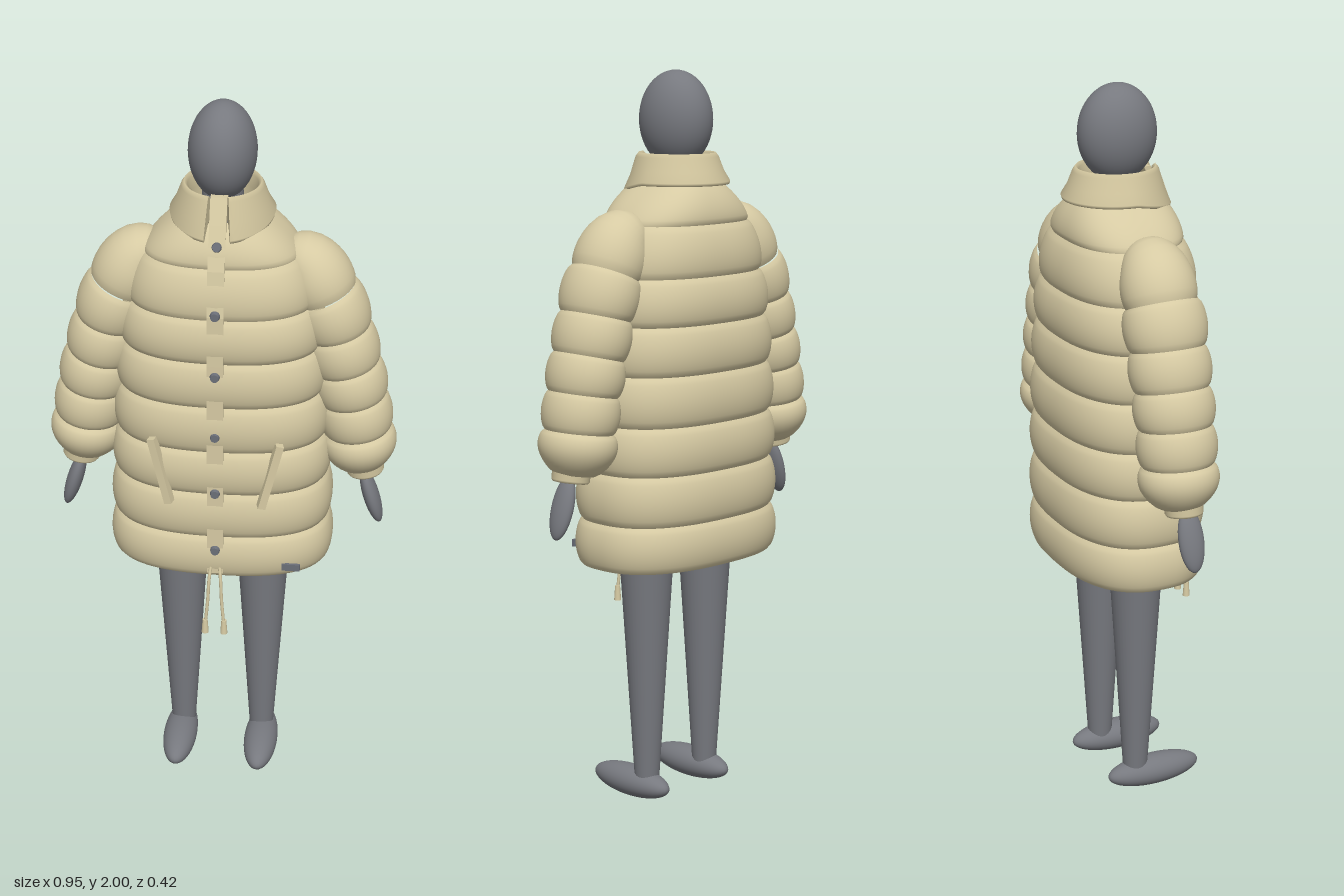
import * as THREE from 'three';

const mat = (name, color, side = THREE.FrontSide) => {
  const m = new THREE.MeshStandardMaterial({ color, side });
  m.name = name;
  return m;
};

// Grid surface: rows run upward, columns run from +x towards +z.
function loft(rows, cols, point, closed = true) {
  const pos = [], idx = [], n = closed ? cols : cols + 1;
  for (let i = 0; i <= rows; i++)
    for (let j = 0; j < n; j++) pos.push(...point(i / rows, j / cols));
  for (let i = 0; i < rows; i++)
    for (let j = 0; j < cols; j++) {
      const k = (j + 1) % n;
      const a = i * n + j, b = i * n + k, c = a + n, d = b + n - j + j;
      idx.push(a, c, b, b, c, d);
    }
  const g = new THREE.BufferGeometry();
  g.setAttribute('position', new THREE.Float32BufferAttribute(pos, 3));
  g.setIndex(idx);
  g.computeVertexNormals();
  return g;
}

const lerp = THREE.MathUtils.lerp;
const puff = t => Math.pow(Math.max(0, Math.sin(Math.PI * t)), 0.6);
const soft = v => Math.sign(v) * Math.pow(Math.abs(v), 0.8);

// Seams of the coat body: height, half width, front depth, back depth
const SEAMS = [
  [0.685, 0.291, 0.175, 0.188], [0.81, 0.288, 0.175, 0.19], [0.945, 0.284, 0.175, 0.188],
  [1.075, 0.279, 0.175, 0.187], [1.21, 0.272, 0.175, 0.184], [1.34, 0.262, 0.174, 0.18],
  [1.465, 0.245, 0.17, 0.172], [1.6, 0.205, 0.147, 0.152], [1.71, 0.095, 0.1, 0.11],
];

export function createModel() {
  const model = new THREE.Group();
  model.name = 'mannequinInPufferCoat';
  const gray = mat('mannequinGray', 0x77797f);
  const cloth = mat('coatBeige', 0xd6caa3);
  const lining = mat('liningBeige', 0xcfc39c, THREE.DoubleSide);
  const metal = mat('buttonGray', 0x6b6f78);

  const add = (name, geo, material, x = 0, y = 0, z = 0, parent = model) => {
    const m = new THREE.Mesh(geo, material);
    m.name = name;
    m.position.set(x, y, z);
    parent.add(m);
    return m;
  };
  const ball = (name, x, y, z, rx, ry, rz) =>
    add(name, new THREE.SphereGeometry(1, 40, 28).scale(rx, ry, rz), gray, x, y, z);

  // Mannequin
  ball('head', 0, 1.87, 0, 0.089, 0.13, 0.108);
  add('neck', new THREE.CylinderGeometry(0.052, 0.06, 0.22, 32), gray, 0, 1.7, 0);
  for (const s of [1, -1]) {
    const side = s > 0 ? 'left' : 'right';
    const leg = new THREE.CylinderGeometry(0.084, 0.034, 0.79, 36);
    add(side + 'Leg', leg, gray, s * 0.114, 0.455, 0);
    ball(side + 'Foot', s * 0.118, 0.043, 0.056, 0.048, 0.043, 0.14);
    ball(side + 'Hand', s * 0.411, 0.872, 0.012, 0.022, 0.087, 0.036).rotation.z = s * 0.3;
  }

  // Quilted coat body, one loft for each padded band
  const coat = new THREE.Group();
  coat.name = 'coatBody';
  model.add(coat);
  for (let k = 0; k < SEAMS.length - 1; k++) {
    const lo = SEAMS[k], hi = SEAMS[k + 1];
    add('band' + (k + 1), loft(14, 80, (t, u) => {
      const p = 0.018 * puff(t), a = u * Math.PI * 2;
      const [y, w, f, b] = lo.map((v, i) => lerp(v, hi[i], t));
      const c = soft(Math.cos(a)), s = soft(Math.sin(a));
      return [(w + p) * c, y, ((s > 0 ? f : b) + p) * s];
    }), cloth, 0, 0, 0, coat);
  }
  // Inner lining, from hem rim upward
  add('lining', loft(4, 80, (t, u) => {
    const a = u * Math.PI * 2, r = [0, 0.02, 0.024, 0.03, 0.28][Math.round(t * 4)];
    const y = [0.685, 0.687, 0.75, 1.1, 1.15][Math.round(t * 4)];
    const s = soft(Math.sin(a));
    return [(0.291 - r) * soft(Math.cos(a)), y, Math.max(0.01, (s > 0 ? 0.175 : 0.188) - r) * s];
  }), lining, 0, 0, 0, coat);

  // Sleeves: padded rings along a drooping arm path
  const arm = new THREE.CatmullRomCurve3([
    [0.14, 1.57], [0.215, 1.56], [0.275, 1.46], [0.315, 1.33], [0.35, 1.18], [0.382, 0.96],
  ].map(([x, y]) => new THREE.Vector3(x, y, -0.006)));
  const cuts = [0, 0.25, 0.41, 0.56, 0.7, 0.84, 1];
  const cuffProfile = [[0.036, 0.035], [0.036, -0.036], [0.04, -0.04], [0.047, -0.04], [0.051, -0.034], [0.051, 0.04]]
    .map(p => new THREE.Vector2(...p));
  for (const s of [1, -1]) {
    const sleeve = new THREE.Group();
    sleeve.name = s > 0 ? 'leftSleeve' : 'rightSleeve';
    model.add(sleeve);
    for (let k = 0; k < cuts.length - 1; k++) {
      const first = k === 0, last = k === cuts.length - 2;
      add('sleevePuff' + (k + 1), loft(14, 40, (v, u) => {
        const t = 1 - v, q = lerp(cuts[k], cuts[k + 1], t);
        const P = arm.getPointAt(q), T = arm.getTangentAt(q), a = s * u * Math.PI * 2;
        let r = 0.088;
        if (first) r *= Math.sqrt(1 - (1 - t) * (1 - t));
        if (last) r = lerp(0.088, 0.052, t * t);
        r += (last ? 0.02 : 0.013) * puff(t);
        const n = r * Math.cos(a), rz = r * (first ? 1.05 : lerp(1.15, 1.05, q));
        return [s * (P.x - T.y * n), P.y + T.x * n, P.z + rz * Math.sin(a)];
      }), cloth, 0, 0, 0, sleeve);
    }
    add('cuff', new THREE.LatheGeometry(cuffProfile, 36), lining, s * 0.387, 0.98, 0, sleeve).rotation.z = s * 0.16;
  }

  // Turned-down collar, open at the front: radius, height, share of front droop
  const collarProfile = [
    [0.086, 1.67, 0], [0.088, 1.74, 0], [0.091, 1.775, 0], [0.1, 1.783, 0], [0.108, 1.772, 0],
    [0.122, 1.735, 0.5], [0.138, 1.708, 1], [0.136, 1.7, 1], [0.126, 1.703, 1], [0.106, 1.73, 0.4],
  ];
  const gap = 0.25;
  const collarPoint = (i, u) => {
    const [r, y, d] = collarProfile[i % collarProfile.length];
    const a = Math.PI / 2 + gap + u * (Math.PI * 2 - 2 * gap);
    const front = Math.max(0, Math.sin(a));
    return [r * Math.cos(a), y - d * 0.03 * front, -0.006 + r * Math.sin(a) * (1.04 + 0.05 * front)];
  };
  const pn = collarProfile.length;
  add('collar', loft(pn, 64, (t, u) => collarPoint(Math.round(t * pn), u), false), lining);
  for (const u of [0, 1])
    add('collarEnd', loft(4, 1, (t, v) => {
      const i = Math.round(t * 4);
      return collarPoint(v ? 9 - i : i, u);
    }, false), lining);

  // Front placket that sinks between the bands
  const line = [[1.775, 0.088], [1.71, 0.118], [1.66, 0.139], [1.6, 0.161], [1.48, 0.184], [1.34, 0.188], [0.7, 0.189]];
  const strip = new THREE.Shape();
  line.forEach(([y, z], i) => (i ? strip.lineTo(z, y) : strip.moveTo(z, y)));
  [...line].reverse().forEach(([y, z]) => strip.lineTo(z - 0.02, y));
  const placketGeo = new THREE.ExtrudeGeometry(strip, { depth: 0.044, bevelEnabled: false });
  placketGeo.rotateY(-Math.PI / 2);
  add('placket', placketGeo, cloth, 0.022, 0, 0);

  // Snap buttons
  [[1.66, 0.141], [1.485, 0.187], [1.31, 0.192], [1.13, 0.193], [0.955, 0.192], [0.775, 0.193]].forEach(([y, z], i) => {
    const b = add('button' + (i + 1), new THREE.CylinderGeometry(0.011, 0.014, 0.012, 24), metal, 0, y, z);
    b.rotation.x = Math.PI / 2 - (i ? 0 : 0.35);
  });

  // Pocket welts, drawstrings and toggles
  for (const s of [1, -1]) {
    const side = s > 0 ? 'left' : 'right';
    const welt = add(side + 'PocketWelt', new THREE.BoxGeometry(0.021, 0.195, 0.024), cloth, s * 0.147, 1.015, 0.182);
    welt.rotation.set(0, s * 0.25, -s * 0.25);
    const cord = new THREE.CatmullRomCurve3([
      [0.012, 0.72, 0.186], [0.016, 0.68, 0.197], [0.019, 0.62, 0.202], [0.025, 0.55, 0.206],
    ].map(([x, y, z]) => new THREE.Vector3(s * x, y, z)));
    add(side + 'Drawstring', new THREE.TubeGeometry(cord, 20, 0.0045, 8), cloth);
    add(side + 'Toggle', new THREE.CylinderGeometry(0.007, 0.01, 0.042, 16), cloth, s * 0.026, 0.536, 0.206);
  }

  // Small plain tag near the hem
  add('hemTag', new THREE.BoxGeometry(0.05, 0.02, 0.008), metal, 0.205, 0.721, 0.169);
  return model;
}
